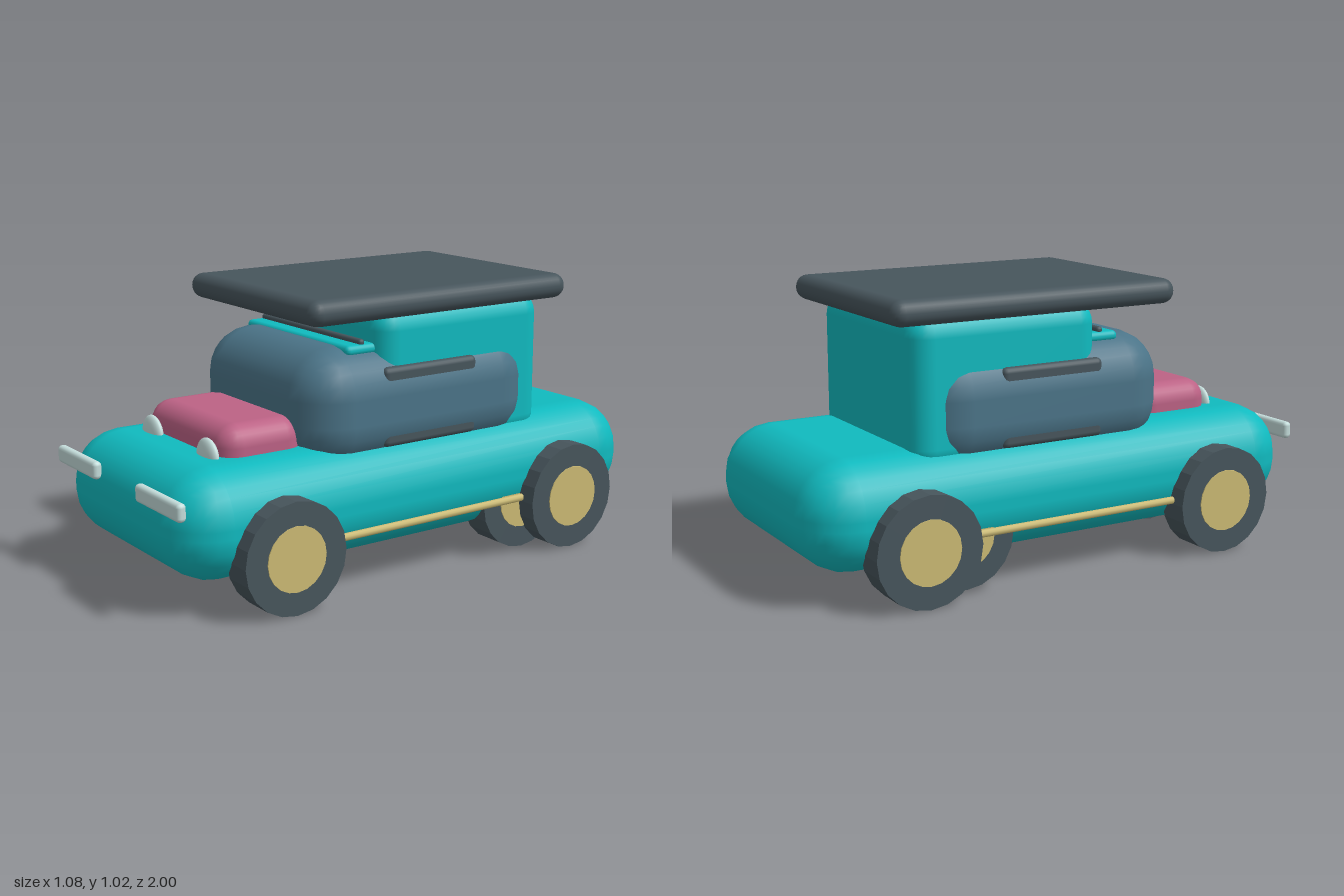
import * as THREE from 'three';
import { RoundedBoxGeometry } from 'three/addons/geometries/RoundedBoxGeometry.js';

const paint = (name, color, flatShading = false) => {
  const m = new THREE.MeshStandardMaterial({ color, flatShading });
  m.name = name;
  return m;
};

export function createModel() {
  const car = new THREE.Group();
  car.name = 'car';
  const teal = paint('teal paint', 0x10babf);
  const glass = paint('blue glass', 0x4b7488);
  const dark = paint('dark rubber', 0x47555c);
  const pink = paint('pink panel', 0xbc6285);
  const pale = paint('pale lamp', 0xc4dddb);
  const tan = paint('tan metal', 0xcbba74);

  const add = (name, geometry, material, x = 0, y = 0, z = 0, parent = car) => {
    const mesh = new THREE.Mesh(geometry, material);
    mesh.name = name;
    mesh.position.set(x, y, z);
    parent.add(mesh);
    return mesh;
  };

  // Rounded block given by its min and max on each axis
  const block = (name, material, [x0, x1], [y0, y1], [z0, z1], radius, segments = 3) =>
    add(name, new RoundedBoxGeometry(x1 - x0, y1 - y0, z1 - z0, segments, radius), material,
      (x0 + x1) / 2, (y0 + y1) / 2, (z0 + z1) / 2);

  // Body and cabin
  block('body', teal, [-0.475, 0.475], [0.11, 0.5], [-1, 0.985], 0.18);
  block('windowBubble', glass, [-0.412, 0.412], [0.4, 0.83], [-0.55, 0.45], 0.17);
  block('cabin', teal, [-0.382, 0.382], [0.42, 0.96], [-0.59, 0.15], 0.08);
  block('roof', dark, [-0.42, 0.42], [0.93, 1.022], [-0.68, 0.46], 0.045);
  block('doorFrame', dark, [-0.403, 0.403], [0.475, 0.76], [-0.26, 0.15], 0.02, 2);
  block('visor', teal, [-0.33, 0.33], [0.8, 0.838], [0.1, 0.262], 0.018, 2);
  block('visorBar', dark, [-0.32, 0.32], [0.83, 0.855], [0.178, 0.203], 0.011, 2);
  block('hood', pink, [-0.286, 0.286], [0.42, 0.605], [0.4, 0.725], 0.075);
  add('floorPlate', new THREE.BoxGeometry(0.58, 0.008, 1.27), pink, 0, 0.11, -0.015);

  // Wheel: low-sided tyre with a hub showing on both faces
  const tyreMaterial = dark;
  const wheel = (name, x, y, z, radius, hubRadius) => {
    const group = new THREE.Group();
    group.name = name;
    group.position.set(x, y, z);
    const tyre = new THREE.CylinderGeometry(radius, radius, 0.118, 20).toNonIndexed();
    tyre.computeVertexNormals();
    const hub = new THREE.CylinderGeometry(hubRadius, hubRadius, 0.125, 20);
    for (const g of [tyre, hub]) g.rotateZ(Math.PI / 2);
    add('tyre', tyre, tyreMaterial, 0, 0, 0, group);
    add('hub', hub, tan, 0, 0, 0, group);
    car.add(group);
  };

  for (const [side, s] of [['left', 1], ['right', -1]]) {
    // Running gear
    wheel(side + 'FrontWheel', s * 0.479, 0.202, 0.61, 0.198, 0.115);
    wheel(side + 'RearWheel', s * 0.479, 0.202, -0.62, 0.198, 0.115);
    wheel(side + 'InnerWheel', s * 0.401, 0.202, -0.44, 0.183, 0.105);
    const rail = add(side + 'SideRail', new THREE.CylinderGeometry(0.014, 0.014, 1.23, 10), tan,
      s * 0.474, 0.215, -0.005);
    rail.rotation.x = Math.PI / 2;

    // Lamps and bumpers
    const lamp = add(side + 'Headlight', new THREE.SphereGeometry(0.066, 20, 14), pale,
      s * 0.195, 0.495, 0.742);
    lamp.scale.z = 0.36;
    const bx = s > 0 ? [0.15, 0.45] : [-0.45, -0.15];
    block(side + 'Bumper', pale, bx, [0.371, 0.435], [0.965, 1], 0.015, 2);
  }
  wheel('centreWheel', 0, 0.202, 0.61, 0.19, 0.11);
  car.getObjectByName('centreWheel').scale.x = 1.3;

  return car;
}
